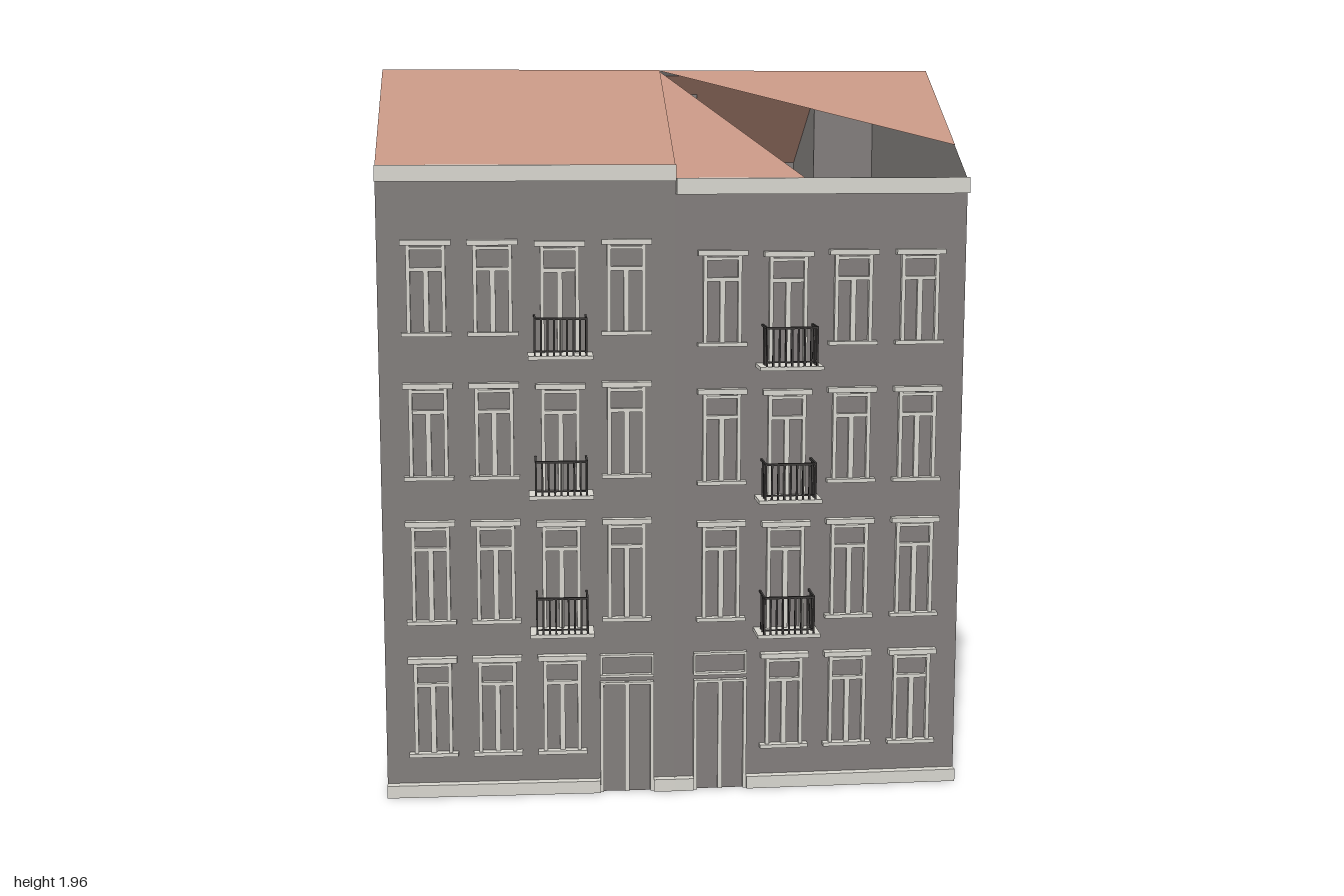
import * as THREE from 'three';

const mat = (name, color) => {
  const m = new THREE.MeshStandardMaterial({ color, side: THREE.DoubleSide });
  m.name = name;
  return m;
};

export function createModel() {
  const model = new THREE.Group();
  model.name = 'apartmentBuilding';
  const wall = mat('wallGrey', 0x827e7c);
  const flat = mat('flatRoofGrey', 0xa5a2a0);
  const tile = mat('roofTileBrown', 0xc29381);
  const trim = mat('trimStone', 0xd8d6cf);
  const iron = mat('railingIron', 0x3c3a39);

  const W = 0.78, RIDGE = 1.955, FRONT = 0.92, EDGE = 0.908, BACK = -0.32;
  const WING = -0.72, REAR = -0.995, ANNEX = 0.41;

  // Flat convex panel, turned to face away from the point "inside"
  function panel(parent, name, material, pts, inside) {
    const v = pts.map(p => new THREE.Vector3(...p));
    const n = new THREE.Vector3().crossVectors(v[1].clone().sub(v[0]), v[2].clone().sub(v[0]));
    if (n.dot(v[0].clone().sub(inside)) < 0) v.reverse();
    const tris = [];
    for (let i = 1; i < v.length - 1; i++) tris.push(v[0], v[i], v[i + 1]);
    const g = new THREE.BufferGeometry().setFromPoints(tris);
    g.computeVertexNormals();
    const mesh = new THREE.Mesh(g, material);
    mesh.name = name;
    parent.add(mesh);
  }

  // Box standing on the facade plane: centre x, bottom y, width, height, depth, start z
  function bar(parent, name, material, x, y, w, h, d, z = 0) {
    const mesh = new THREE.Mesh(new THREE.BoxGeometry(w, h, d), material);
    mesh.position.set(x, y + h / 2, z + d / 2);
    mesh.name = name;
    parent.add(mesh);
  }

  // Window with lintel, frame, transom and mullion; the sill is left out above balconies
  function addWindow(parent, x, top, bottom, sill) {
    const g = new THREE.Group();
    g.name = 'window';
    const h = top - bottom, t = 0.01;
    bar(g, 'lintel', trim, x, top - 0.014, 0.132, 0.014, 0.022);
    for (const s of [-1, 1]) bar(g, 'frameSide', trim, x + s * 0.046, bottom, t, h - 0.014, 0.014);
    bar(g, 'frameHead', trim, x, top - 0.026, 0.1, 0.008, 0.014);
    bar(g, 'transom', trim, x, top - 0.082, 0.09, t, 0.012);
    bar(g, 'mullion', trim, x, bottom, 0.014, h - 0.08, 0.01);
    if (sill) bar(g, 'sill', trim, x, bottom, 0.132, 0.01, 0.02);
    parent.add(g);
  }

  // Balcony slab with an iron railing on three sides
  function addBalcony(parent, x, bottom, top) {
    const g = new THREE.Group();
    g.name = 'balcony';
    const D = 0.08, w = 0.134, h = top - bottom;
    bar(g, 'slab', trim, x, bottom, 0.17, 0.01, D);
    bar(g, 'topRail', iron, x, top - 0.006, w, 0.006, 0.006, D - 0.008);
    bar(g, 'lowRail', iron, x, bottom + 0.02, w, 0.004, 0.004, D - 0.007);
    for (let i = 0; i < 9; i++)
      bar(g, 'baluster', iron, x - w / 2 + (i * w) / 8, bottom, 0.005, h, 0.005, D - 0.008);
    for (const s of [-1, 1]) {
      bar(g, 'sideRail', iron, x + s * w / 2, top - 0.006, 0.005, 0.006, D - 0.004);
      for (const z of [0.02, 0.045]) bar(g, 'sideBaluster', iron, x + s * w / 2, bottom, 0.004, h, 0.004, z);
    }
    parent.add(g);
  }

  // Double door with a fanlight
  function addDoor(parent, x) {
    const g = new THREE.Group();
    g.name = 'door';
    for (const s of [-1, 1]) {
      bar(g, 'jamb', trim, x + s * 0.068, 0, 0.009, 0.31, 0.014);
      bar(g, 'fanlightSide', trim, x + s * 0.07, 0.325, 0.006, 0.06, 0.012);
      bar(g, 'doorLeaf', wall, x + s * 0.034, 0, 0.058, 0.3, 0.006);
    }
    bar(g, 'doorMullion', trim, x, 0, 0.012, 0.31, 0.012);
    for (const y of [0.302, 0.323, 0.379]) bar(g, 'doorHead', trim, x, y, 0.145, 0.007, 0.014);
    parent.add(g);
  }

  const halves = [
    { s: -1, name: 'westHouse', eave: 1.695, zf: 0.46, zb: -0.28, eaveBack: 1.70, wing: [-0.59, -0.2],
      cols: [-0.653, -0.48, -0.305, -0.13], balconyCol: 2, doorCol: 3,
      floors: [[0.388, 0.112], [0.762, 0.48], [1.132, 0.873], [1.508, 1.256]],
      balconies: [[0.455, 0.565], [0.83, 0.933], [1.2, 1.31]] },
    { s: 1, name: 'eastHouse', eave: 1.66, zf: 0.41, zb: -0.22, eaveBack: 1.665, wing: [0.195, 0.585],
      cols: [0.124, 0.3, 0.475, 0.655], balconyCol: 1, doorCol: 0,
      floors: [[0.38, 0.112], [0.75, 0.474], [1.109, 0.85], [1.477, 1.223]],
      balconies: [[0.44, 0.554], [0.808, 0.917], [1.165, 1.28]] },
  ];

  for (const o of halves) {
    const house = new THREE.Group();
    house.name = o.name;
    model.add(house);
    const X = o.s * W, [a, b] = o.wing, inside = new THREE.Vector3(X / 2, 1, 0.2);
    const add = (name, m, pts, ref = inside) => panel(house, name, m, pts, ref);
    const upright = (name, x1, z1, x2, z2, h, ref) =>
      add(name, wall, [[x1, 0, z1], [x2, 0, z2], [x2, h, z2], [x1, h, z1]], ref);
    // Height of the rear roof slope where it meets the main back wall
    const yb = RIDGE + (o.eaveBack - RIDGE) * (BACK - o.zb) / (WING - o.zb);

    // Main walls
    upright('frontWall', 0, FRONT, X, EDGE, o.eave);
    const gable = (name, x, z) => add(name, wall, [[x, 0, z], [x, o.eave, z], [x, RIDGE, o.zf],
      [x, RIDGE, o.zb], [x, yb, BACK], [x, 0, BACK]]);
    gable('sideWall', X, EDGE);
    gable('partyWall', 0, FRONT);
    const [lo, hi] = [Math.min(0, X), Math.max(0, X)];
    upright('backWall', lo, BACK, a, BACK, yb);
    upright('backWall', b, BACK, hi, BACK, yb);
    add('floor', wall, [[0, 0, FRONT], [X, 0, EDGE], [X, 0, BACK], [0, 0, BACK]]);

    // Main roof
    add('flatRoof', flat, [[0, RIDGE, o.zf], [X, RIDGE, o.zf], [X, RIDGE, o.zb], [0, RIDGE, o.zb]]);
    add('rearRoofSlope', tile, [[0, RIDGE, o.zb], [X, RIDGE, o.zb], [X, yb, BACK], [0, yb, BACK]]);
    if (o.s < 0) {
      add('frontRoofSlope', tile, [[0, RIDGE, o.zf], [X, RIDGE, o.zf], [X, o.eave, EDGE], [0, o.eave, FRONT]]);
    } else {
      // The front slope is open between two triangles
      add('frontRoofSlope', tile, [[0, RIDGE, o.zf], [0, o.eave, FRONT], [0.35, o.eave, 0.915]]);
      add('frontRoofSlope', tile, [[0, RIDGE, o.zf], [X, RIDGE, o.zf], [X, 1.748, 0.765]]);
    }

    // Tall rear wing
    const wingRef = new THREE.Vector3((a + b) / 2, 0.3, -0.5);
    for (const x of [a, b])
      add('wingSide', wall, [[x, 0, BACK], [x, yb, BACK], [x, o.eaveBack, WING], [x, 0, WING]], wingRef);
    add('wingBack', wall, [[a, ANNEX, WING], [b, ANNEX, WING], [b, o.eaveBack, WING], [a, o.eaveBack, WING]], wingRef);
    add('wingRoof', tile, [[a, yb, BACK], [b, yb, BACK], [b, o.eaveBack, WING], [a, o.eaveBack, WING]], wingRef);
    add('wingFloor', wall, [[a, 0, BACK], [b, 0, BACK], [b, 0, REAR], [a, 0, REAR]], wingRef);

    // Low annex with a pair of rear windows
    const annexRef = new THREE.Vector3((a + b) / 2, 0.2, -0.85);
    for (const x of [a, b]) upright('annexSide', x, WING, x, REAR, ANNEX, annexRef);
    upright('annexBack', a, REAR, b, REAR, ANNEX, annexRef);
    add('annexRoof', flat, [[a, ANNEX, WING], [b, ANNEX, WING], [b, ANNEX, REAR], [a, ANNEX, REAR]], annexRef);
    for (const s of [-1, 1]) {
      const cx = (a + b) / 2 + s * 0.085, z = REAR - 0.005;
      for (const t of [-1, 1]) bar(house, 'rearWindowSide', trim, cx + t * 0.068, 0.1, 0.008, 0.22, 0.005, z);
      for (const y of [0.1, 0.312]) bar(house, 'rearWindowRail', trim, cx, y, 0.14, 0.008, 0.005, z);
    }

    // Street facade details, turned to follow the slightly bent front
    const facade = new THREE.Group();
    facade.name = 'facade';
    facade.position.z = FRONT;
    facade.rotation.y = o.s * Math.atan((FRONT - EDGE) / W);
    house.add(facade);
    bar(facade, 'cornice', trim, X / 2, o.eave - 0.036, W, 0.042, 0.026);
    const door = o.cols[o.doorCol];
    const near = Math.abs(door) - 0.073, far = Math.abs(door) + 0.073;
    bar(facade, 'plinth', trim, o.s * near / 2, 0, near, 0.034, 0.022);
    bar(facade, 'plinth', trim, o.s * (far + W) / 2, 0, W - far, 0.034, 0.022);
    addDoor(facade, door);
    o.floors.forEach(([top, bottom], f) => o.cols.forEach((x, c) => {
      if (f === 0 && c === o.doorCol) return;
      const hasBalcony = f > 0 && c === o.balconyCol;
      // Balcony openings start a little lower
      const t = hasBalcony ? top - 0.004 : top;
      addWindow(facade, x, t, hasBalcony ? o.balconies[f - 1][0] : bottom, !hasBalcony);
      if (hasBalcony) addBalcony(facade, x, ...o.balconies[f - 1]);
    }));
  }
  return model;
}
